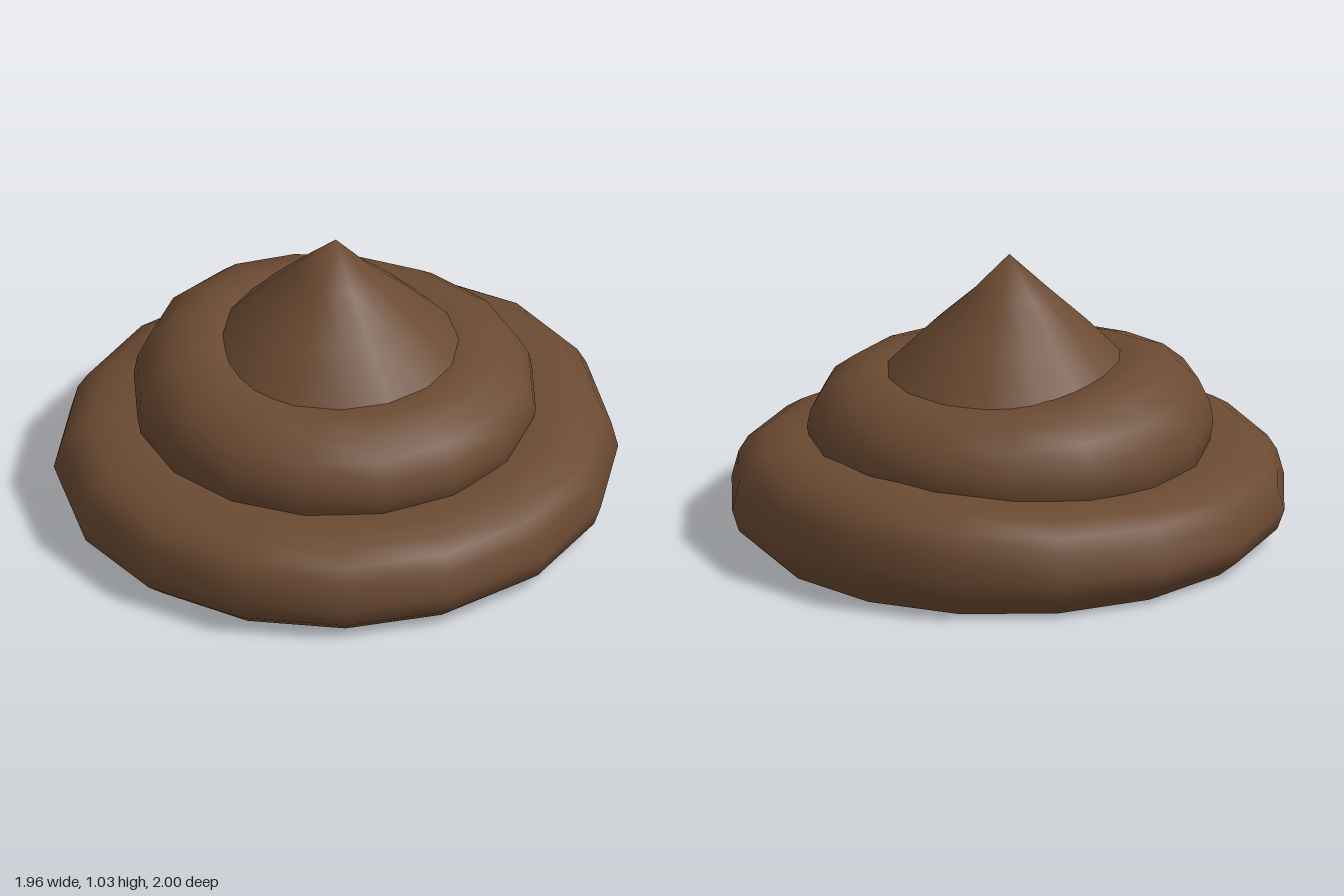
import * as THREE from 'three';
import { mergeVertices } from 'three/addons/utils/BufferGeometryUtils.js';

const SIDES = 16;
const STEP = (Math.PI * 2) / SIDES;
const brown = new THREE.MeshStandardMaterial({ color: 0x6b4a32 });

// A lathed coil whose height above `base` swells by `lift` towards direction (dx, dz).
function coil({ name, profile, turn = 0, base = 0, lift = 0, dx = 0, dz = -1, x = 0, z = 0, scaleX = 1 }) {
  const points = profile.map(([r, y]) => new THREE.Vector2(r, y));
  let geometry = new THREE.LatheGeometry(points, SIDES, turn);
  const pos = geometry.attributes.position;
  const length = Math.hypot(dx, dz);
  for (let i = 0; i < pos.count; i++) {
    const px = pos.getX(i), py = pos.getY(i), pz = pos.getZ(i);
    const r = Math.hypot(px, pz);
    const facing = r > 1e-4 ? Math.max(0, (px * dx + pz * dz) / (r * length)) : 0;
    const rise = py > base ? (py - base) * lift * facing ** 2 : 0;
    pos.setXYZ(i, px * scaleX + x, py + rise, pz + z);
  }
  // weld the seam so the shading stays smooth all round
  geometry.deleteAttribute('uv');
  geometry.deleteAttribute('normal');
  geometry = mergeVertices(geometry, 1e-4);
  geometry.computeVertexNormals();
  const mesh = new THREE.Mesh(geometry, brown);
  mesh.name = name;
  return mesh;
}

export function createModel() {
  const model = new THREE.Group();
  model.name = 'swirl';

  // wide bottom coil, taller at the back
  model.add(coil({
    name: 'bottomCoil',
    profile: [[0.9, 0], [0.975, 0.06], [1, 0.13], [0.975, 0.22], [0.94, 0.275], [0.875, 0.315],
      [0.78, 0.333], [0.66, 0.33], [0.5, 0.3]],
    lift: 0.17, dx: 0.15, dz: -1, scaleX: 0.98,
  }));

  // flat underside
  const underside = new THREE.Mesh(new THREE.CircleGeometry(0.9, SIDES), brown);
  underside.name = 'underside';
  underside.rotation.x = Math.PI / 2;
  underside.scale.x = 0.98;
  model.add(underside);

  // middle coil, taller on one side
  model.add(coil({
    name: 'middleCoil',
    profile: [[0.66, 0.27], [0.7, 0.33], [0.712, 0.39], [0.7, 0.45], [0.66, 0.52], [0.585, 0.575],
      [0.5, 0.6], [0.42, 0.6], [0.3, 0.57]],
    turn: STEP / 2, base: 0.33, lift: 0.24, dx: -1, dz: 0.3, x: -0.015, z: -0.01,
  }));

  // pointed tip, a little fuller on the same side
  model.add(coil({
    name: 'tip',
    profile: [[0.46, 0.56], [0.425, 0.61], [0.28, 0.755], [0.13, 0.89], [0, 1.03]],
    base: 0.5, lift: 0.06, dx: -1, dz: 0.1, x: -0.015, z: -0.015,
  }));

  return model;
}
